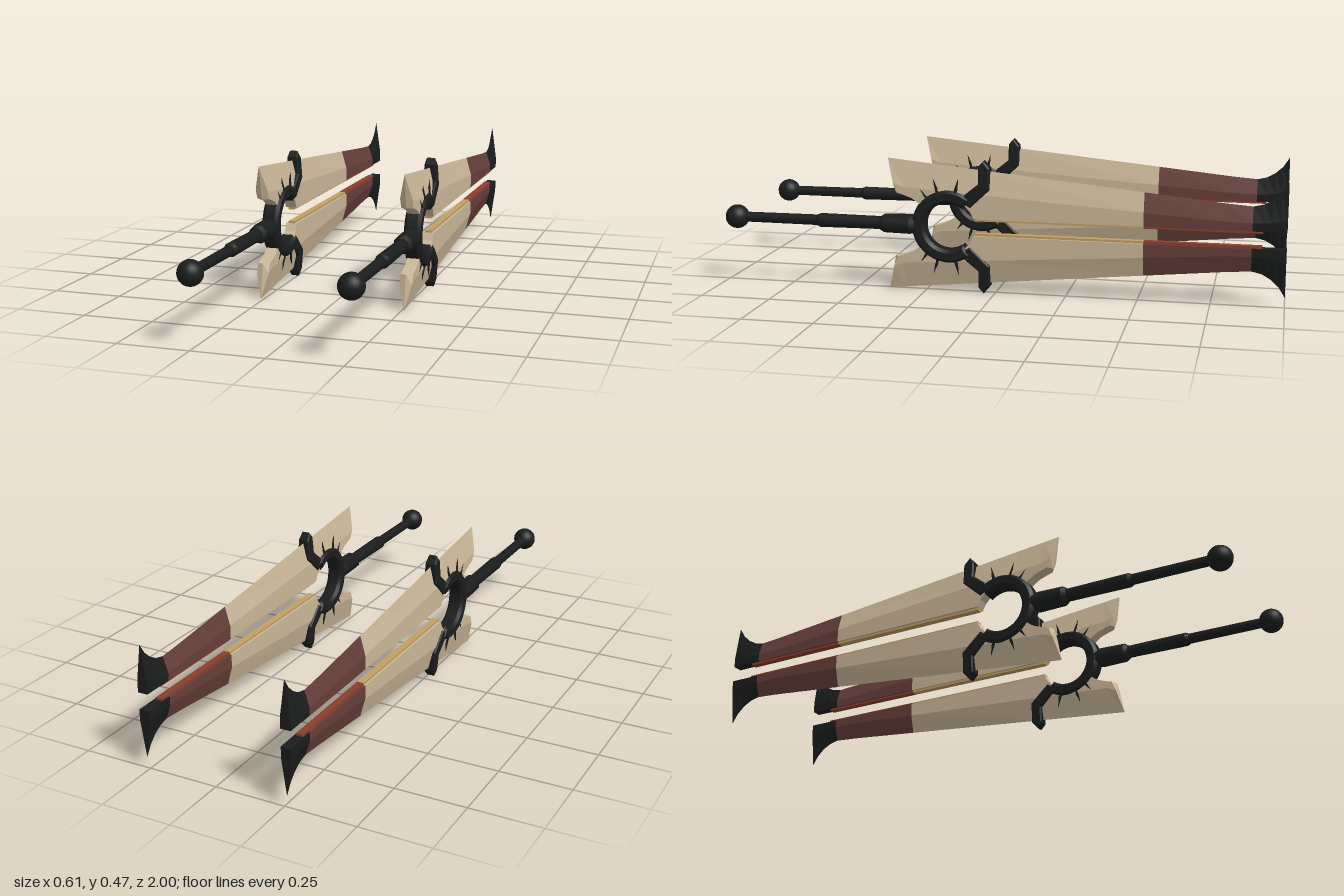
import * as THREE from 'three';

const mat = (name, color, side = THREE.FrontSide) => {
  const m = new THREE.MeshStandardMaterial({ color, side });
  m.name = name;
  return m;
};

const RING_Z = 0.165;

// One blade cross-section: sharp outer edge, ridge and flat inner edge
function section(z, outer, ridge, inner, w, zRidge = z, zInner = z) {
  return [[0, outer, z], [-w, ridge, zRidge], [-w, inner, zInner], [w, inner, zInner], [w, ridge, zRidge]];
}

// Skin a list of cross-sections running from +z to -z, with fan caps
function loft(sections, frontCentre) {
  const pos = [];
  const tri = (a, b, c) => pos.push(...a, ...b, ...c);
  const n = sections[0].length;
  for (let j = 0; j < sections.length - 1; j++) {
    for (let k = 0; k < n; k++) {
      const k2 = (k + 1) % n, s = sections[j], t = sections[j + 1];
      tri(s[k], t[k], s[k2]);
      tri(s[k2], t[k], t[k2]);
    }
  }
  const first = sections[0], last = sections[sections.length - 1];
  const mid = (s) => [0, (s[1][1] + s[2][1]) / 2, s[1][2]];
  const fc = frontCentre || mid(first), bc = mid(last);
  for (let k = 0; k < n; k++) {
    const k2 = (k + 1) % n;
    tri(fc, first[k], first[k2]);
    tri(bc, last[k2], last[k]);
  }
  const g = new THREE.BufferGeometry();
  g.setAttribute('position', new THREE.Float32BufferAttribute(pos, 3));
  g.computeVertexNormals();
  return g;
}

// Extrude an outline drawn in (z, y) across x, centred on x = 0
function plate(shape, half, bevel) {
  const g = new THREE.ExtrudeGeometry(shape, {
    depth: 2 * (half - bevel), bevelEnabled: bevel > 0, bevelSize: bevel, bevelThickness: bevel,
    bevelOffset: -bevel, bevelSegments: 1, curveSegments: 28,
  });
  g.translate(0, 0, -(half - bevel));
  g.rotateY(-Math.PI / 2);
  return g;
}

export function createModel() {
  const bone = mat('bone', 0xcbb899);
  const maroon = mat('maroon', 0x673f3b);
  const black = mat('black', 0x1b1d1d);
  const gold = mat('gold', 0xc2a065);
  const rust = mat('rust', 0x8c3f2c);

  const add = (parent, name, geo, material) => {
    const m = new THREE.Mesh(geo, material);
    m.name = name;
    parent.add(m);
    return m;
  };

  // Outer edge and ridge taper steadily along the blade
  const outerAt = (z) => 0.235 - (0.385 - z) * 0.0985;
  const ridgeAt = (z) => 0.14 - (0.385 - z) * 0.068;
  const widthAt = (z) => 0.0215 - (0.385 - z) * 0.003;
  const plain = (z, inner) => section(z, outerAt(z), ridgeAt(z), inner, widthAt(z));

  // Blade base: bevelled front, hollowed around the ring
  const base = [section(0.385, 0.235, 0.15, 0.115, 0.0215, 0.362, 0.348)];
  base.push(plain(0.325, 0.108), plain(0.295, 0.097), plain(0.27, 0.08));
  for (let i = 0; i <= 8; i++) {
    const z = 0.245 - i * 0.02;
    base.push(plain(z, Math.max(0.03, Math.sqrt(Math.max(0, 0.0095 - (z - RING_Z) ** 2)))));
  }
  base.push(plain(0.072, 0.03), plain(-0.52, 0.03));
  const baseGeo = loft(base, [0, 0.115, 0.36]);

  const midGeo = loft([plain(-0.52, 0.03), plain(-0.8, 0.03), section(-0.885, 0.112, 0.058, 0.03, 0.018)]);

  // Flared tip
  const tipGeo = loft([
    [-0.885, 0.112, 0.058], [-0.92, 0.12, 0.059], [-0.95, 0.137, 0.062],
    [-0.977, 0.162, 0.066], [-1, 0.198, 0.07],
  ].map(([z, o, r]) => section(z, o, r, 0.03, 0.018)));

  // Broken ring, open toward the blade tip
  const a = 2.27;
  const arc = new THREE.Shape();
  arc.absarc(0, 0, 0.13, -a, a, false);
  arc.absarc(0, 0, 0.083, a, -a, true);
  const ringGeo = plate(arc, 0.03, 0.011);
  ringGeo.translate(0, 0, RING_Z);

  // Claw arm reaching from the ring over the blade edge
  const armShape = new THREE.Shape([
    [0.115, 0.088], [0.085, 0.07], [0.016, 0.135], [0.016, 0.21], [0.038, 0.236],
    [0.056, 0.215], [0.056, 0.155], [0.105, 0.115],
  ].reverse().map(([z, y]) => new THREE.Vector2(z, y)));
  const armGeo = plate(armShape, 0.026, 0.005);
  const p = armGeo.attributes.position;
  for (let i = 0; i < p.count; i++) {
    // Slim the claw toward its point
    const t = THREE.MathUtils.clamp((p.getY(i) - 0.12) / 0.115, 0, 1);
    p.setX(i, p.getX(i) * (1 - 0.35 * t * t));
  }
  armGeo.computeVertexNormals();

  // Rails along the inner blade edge
  const rail = (z0, z1) => {
    const g = new THREE.BoxGeometry(0.024, 0.009, z0 - z1);
    g.translate(0, 0.0265, (z0 + z1) / 2);
    return g;
  };
  const railGold = rail(0.07, -0.52), railRust = rail(-0.52, -0.92);

  function bladeHalf(name) {
    const h = new THREE.Group();
    h.name = name;
    add(h, 'bladeBase', baseGeo, bone);
    add(h, 'bladeMiddle', midGeo, maroon);
    add(h, 'bladeTip', tipGeo, black);
    add(h, 'innerRail', railGold, gold);
    add(h, 'innerRailEnd', railRust, rust);
    add(h, 'clawArm', armGeo, black);
    // Spikes radiating from the ring on both faces
    for (const angle of [0.92, 1.27, 1.79]) {
      for (const side of [-1, 1]) {
        const g = new THREE.ConeGeometry(0.009, 0.065, 4);
        g.translate(0, 0.147, 0);
        g.rotateX(Math.PI / 2 - angle);
        g.translate(side * 0.019, 0, RING_Z);
        add(h, 'ringSpike', g, black);
      }
    }
    return h;
  }

  // Handle pieces: [name, z start, z end, radius start, radius end, sides]
  const handleParts = [
    ['guardNeck', 0.27, 0.305, 0.028, 0.036, 8],
    ['guardBlock', 0.305, 0.4, 0.036, 0.034, 8],
    ['guardTaper', 0.4, 0.415, 0.034, 0.025, 8],
    ['upperGrip', 0.41, 0.64, 0.023, 0.025, 12],
    ['gripCollar', 0.64, 0.652, 0.025, 0.019, 12],
    ['lowerGrip', 0.645, 0.94, 0.019, 0.018, 12],
  ];

  function sword(name, x) {
    const s = new THREE.Group();
    s.name = name;
    s.add(bladeHalf('upperBlade'));
    const lower = bladeHalf('lowerBlade');
    lower.rotation.z = Math.PI;
    s.add(lower);
    add(s, 'ring', ringGeo, black);
    for (const [part, z0, z1, r0, r1, sides] of handleParts) {
      const g = new THREE.CylinderGeometry(r1, r0, z1 - z0, sides);
      g.rotateY(Math.PI / sides);
      g.rotateX(Math.PI / 2);
      g.translate(0, 0, (z0 + z1) / 2);
      add(s, part, g, black);
    }
    add(s, 'pommel', new THREE.SphereGeometry(0.043, 24, 16), black).position.z = 0.957;
    s.position.set(x, 0.238, 0);
    return s;
  }

  const model = new THREE.Group();
  model.name = 'twinSwords';
  model.add(sword('leftSword', 0.26), sword('rightSword', -0.26));
  return model;
}
